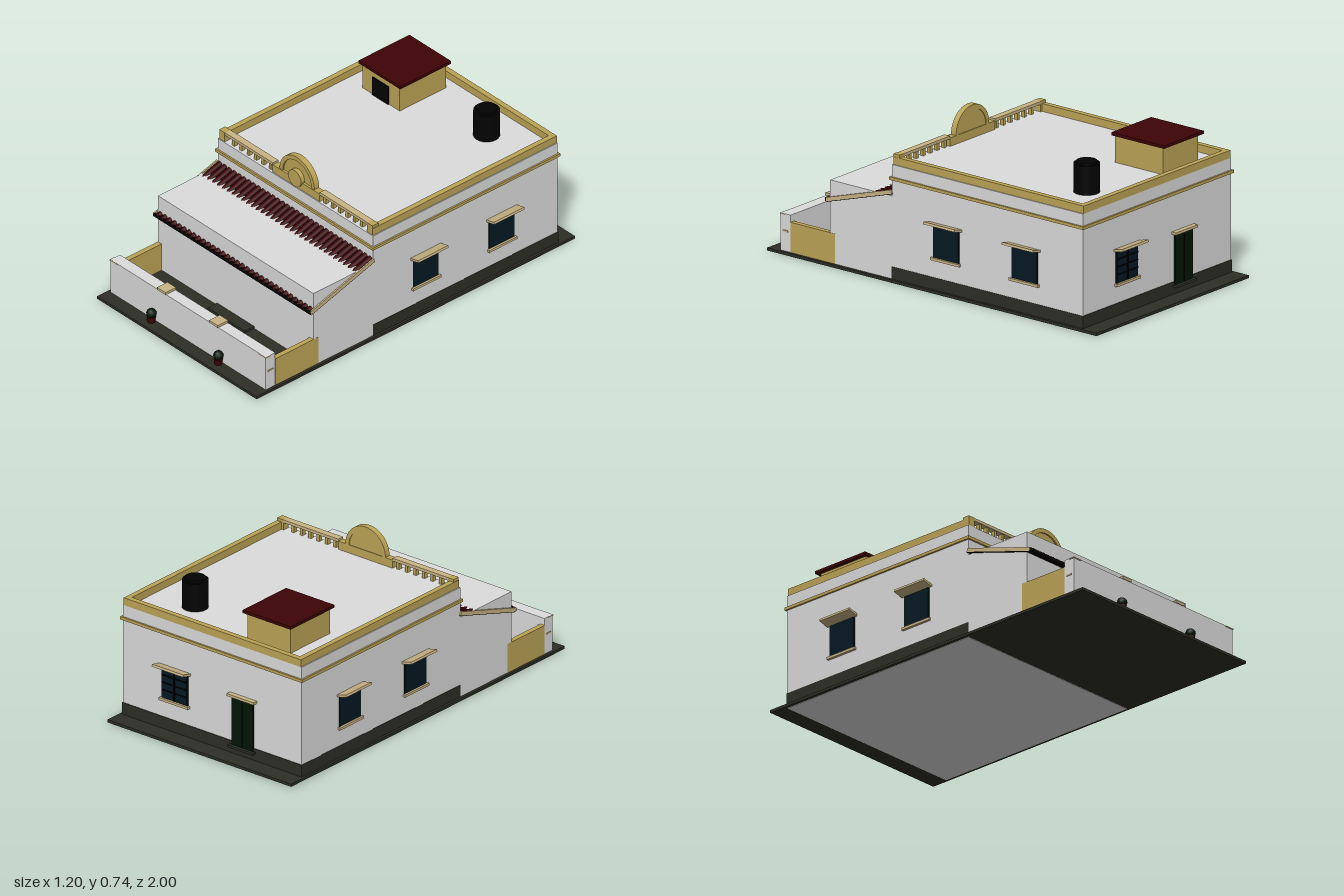
import * as THREE from 'three';

const mat = (name, color) => Object.assign(new THREE.MeshStandardMaterial({ color }), { name });

export function createModel() {
  const white = mat('whitewash', 0xdcdcdc);
  const gold = mat('ochre trim', 0xbca456);
  const tan = mat('pale stone', 0xc9b484);
  const red = mat('clay tile red', 0x3e0406);
  const dark = mat('dark stone', 0x2d2e25);
  const black = mat('black', 0x020202);
  const glass = mat('blue glass', 0x041823);
  const green = mat('dark green', 0x021505);

  const model = new THREE.Group();
  model.name = 'house';

  const add = (name, geo, material, parent = model) => {
    const m = new THREE.Mesh(geo, material);
    m.name = name;
    parent.add(m);
    return m;
  };
  // Box given by its minimum and maximum on each axis
  const box = (name, material, x0, x1, y0, y1, z0, z1, parent = model) => {
    const m = add(name, new THREE.BoxGeometry(x1 - x0, y1 - y0, z1 - z0), material, parent);
    m.position.set((x0 + x1) / 2, (y0 + y1) / 2, (z0 + z1) / 2);
    return m;
  };
  const group = (name) => {
    const g = new THREE.Group();
    g.name = name;
    model.add(g);
    return g;
  };

  // Ground slab, main block and veranda block
  box('groundSlab', dark, -0.56, 0.56, 0.002, 0.016, -1, 1);
  box('mainBlock', white, -0.545, 0.545, 0, 0.58, -0.905, 0.255);
  box('plinth', dark, -0.5465, 0.5465, 0.016, 0.077, -0.908, 0.256);
  box('verandaBlock', white, -0.545, 0.545, 0.016, 0.425, 0.255, 0.63);
  box('frontStep', dark, -0.13, 0.13, 0.016, 0.028, 0.63, 0.69);

  // Cornice band
  box('cornice', gold, -0.554, 0.554, 0.505, 0.52, -0.914, 0.264);

  // Parapet
  for (const s of [-1, 1])
    box('sideParapet', gold, s * 0.526 - 0.014, s * 0.526 + 0.014, 0.58, 0.618, -0.905, 0.25);
  box('backParapet', gold, -0.512, 0.512, 0.58, 0.618, -0.905, -0.877);

  // Front balustrade
  const balustrade = group('balustrade');
  for (const s of [-1, 1]) {
    const span = (name, m, a, b, y0, y1, z0, z1) =>
      box(name, m, Math.min(s * a, s * b), Math.max(s * a, s * b), y0, y1, z0, z1, balustrade);
    span('endPost', gold, 0.5, 0.538, 0.58, 0.632, 0.215, 0.252);
    span('handRail', tan, 0.165, 0.5, 0.617, 0.632, 0.215, 0.25);
    for (let i = 0; i < 6; i++) {
      const x = 0.192 + i * 0.0515;
      span('baluster', gold, x - 0.008, x + 0.008, 0.58, 0.617, 0.222, 0.243);
    }
  }

  // Rounded gable in the middle of the front parapet
  box('gableBase', gold, -0.165, 0.165, 0.58, 0.622, 0.215, 0.25);
  const half = new THREE.Shape();
  half.absarc(0, 0, 0.12, 0, Math.PI, false);
  add('gableDisc', new THREE.ExtrudeGeometry(half, { depth: 0.02, bevelEnabled: false, curveSegments: 24 }), gold)
    .position.set(0, 0.622, 0.218);
  const arch = new THREE.Shape();
  arch.absarc(0, 0, 0.122, 0, Math.PI, false);
  arch.absarc(0, 0, 0.1, Math.PI, 0, true);
  add('gableRim', new THREE.ExtrudeGeometry(arch, { depth: 0.03, bevelEnabled: false, curveSegments: 24 }), gold)
    .position.set(0, 0.622, 0.215);
  const medal = add('gableMedallion', new THREE.CylinderGeometry(0.045, 0.045, 0.028, 28), gold);
  medal.rotation.x = Math.PI / 2;
  medal.position.set(0, 0.632, 0.246);

  // Sloping tiled veranda roof
  const roof = group('verandaRoof');
  const run = 0.4, drop = 0.122, length = Math.hypot(run, drop);
  roof.position.set(0, 0.383, 0.452);
  roof.rotation.x = Math.atan2(drop, run);
  box('roofBoard', red, -0.545, 0.545, -0.003, 0.004, -length / 2, length / 2, roof);
  box('roofUnderside', black, -0.552, 0.552, -0.009, -0.006, -length / 2, length / 2, roof);
  for (const s of [-1, 1])
    box('roofEdge', tan, s * 0.549 - 0.004, s * 0.549 + 0.004, -0.006, 0.013, -length / 2, length / 2, roof);
  const tileGeo = new THREE.CylinderGeometry(0.013, 0.013, length, 8);
  tileGeo.rotateX(Math.PI / 2);
  for (let i = 0; i < 32; i++)
    add('roofTile', tileGeo, red, roof).position.set(-0.527 + i * 0.034, 0.003, 0);
  box('eaveBoard', black, -0.553, 0.553, 0.318, 0.336, 0.648, 0.655);

  // Front yard walls
  box('yardFrontWall', white, -0.545, 0.545, 0.016, 0.2, 0.87, 0.93);
  for (const s of [-1, 1]) {
    box('yardSideWall', gold, s * 0.533 - 0.013, s * 0.533 + 0.013, 0.016, 0.165, 0.6, 0.87);
    box('gatePostCap', tan, s * 0.183 - 0.03, s * 0.183 + 0.03, 0.2, 0.213, 0.868, 0.934);
    box('wallEndTrim', tan, s * 0.522 - 0.026, s * 0.522 + 0.026, 0.194, 0.1995, 0.9, 0.932);
    box('wallEndPlate', tan, s * 0.546 - 0.003, s * 0.546 + 0.003, 0.112, 0.12, 0.885, 0.915);
  }

  // Potted plants
  for (const s of [-1, 1]) {
    add('plantPot', new THREE.CylinderGeometry(0.022, 0.018, 0.03, 10), red).position.set(s * 0.235, 0.031, 0.95);
    const bush = add('plantBush', new THREE.IcosahedronGeometry(0.025, 1), green);
    bush.position.set(s * 0.235, 0.063, 0.95);
  }

  // Window facing +z, then turned onto its wall
  const makeWindow = (name, x, z, turn, barred) => {
    const g = group(name);
    g.position.set(x, 0, z);
    g.rotation.y = turn;
    box('windowFrame', green, -0.08, 0.08, 0.175, 0.342, -0.005, 0.002, g);
    box('windowGlass', glass, -0.075, 0.075, 0.179, 0.338, 0, 0.0035, g);
    box('windowSill', tan, -0.088, 0.088, 0.163, 0.176, -0.005, 0.013, g);
    const hood = box('windowHood', tan, -0.095, 0.095, -0.006, 0.006, 0, 0.058, g);
    hood.position.set(0, 0.348, 0.027);
    hood.rotation.x = -0.25;
    if (barred) {
      for (let i = 1; i < 4; i++) {
        const y = 0.182 + i * 0.038;
        box('windowBar', black, -0.075, 0.075, y - 0.002, y + 0.002, 0.003, 0.009, g);
      }
      box('windowBar', black, -0.003, 0.003, 0.182, 0.335, 0.003, 0.009, g);
    }
  };
  for (const s of [-1, 1])
    for (const z of [-0.075, -0.552]) makeWindow('sideWindow', s * 0.545, z, s * Math.PI / 2, false);
  makeWindow('backWindow', 0.225, -0.908, Math.PI, true);

  // Back door with lintel and step
  box('backDoorFrame', green, -0.255, -0.125, 0.062, 0.312, -0.914, -0.9);
  box('backDoorGap', black, -0.192, -0.188, 0.064, 0.3, -0.917, -0.91);
  box('backDoorLintel', tan, -0.272, -0.108, 0.312, 0.325, -0.93, -0.9);
  box('backDoorStep', dark, -0.265, -0.115, 0.05, 0.062, -0.93, -0.9);

  // Stair hut on the roof
  box('hutWalls', gold, -0.405, -0.145, 0.58, 0.715, -0.82, -0.53);
  box('hutRoof', red, -0.423, -0.13, 0.715, 0.73, -0.84, -0.52);
  box('hutDoor', black, -0.333, -0.22, 0.58, 0.68, -0.532, -0.524);

  // Water tank
  const tank = group('waterTank');
  tank.position.set(0.272, 0, -0.703);
  add('tankBody', new THREE.CylinderGeometry(0.063, 0.063, 0.142, 20), black, tank).position.y = 0.651;
  add('tankLid', new THREE.CylinderGeometry(0.05, 0.05, 0.012, 20), black, tank).position.y = 0.727;
  return model;
}
